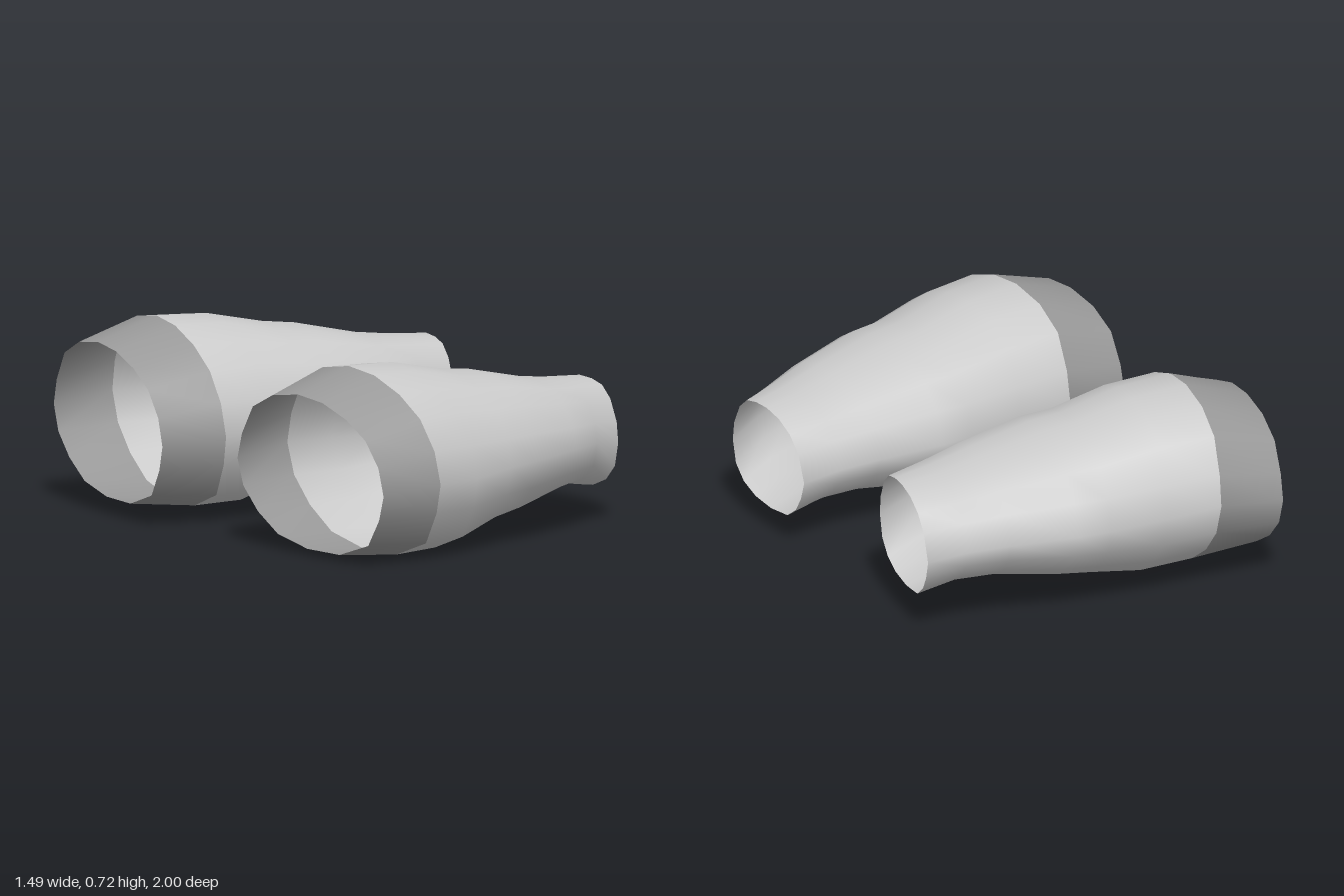
import * as THREE from 'three';

// Unit cross-sections [z, y], from the top round by the inner side
const WIDE = [[-.14, 1], [-.49, .93], [-.77, .73], [-.93, .35], [-1, .02], [-.93, -.33], [-.74, -.63], [-.47, -.88],
  [-.07, -1], [.37, -1], [.77, -.81], [.93, -.45], [1, -.13], [.94, .23], [.77, .56], [.51, .79], [.19, .95]];
const NARROW = [[.01, 1], [-.33, .93], [-.63, .75], [-.86, .46], [-1, -.06], [-.9, -.41], [-.75, -.7], [-.5, -.93],
  [-.03, -1], [.4, -.95], [.72, -.8], [.93, -.53], [1, -.09], [.95, .28], [.78, .68], [.57, .9], [.31, .98]];

// Rings along the sleeve: x, bottom, top, inner z, outer z, lean in z, lean in y
const RINGS = [
  [-.68, .03, .6, .165, .975, .012, -.01],
  [-.43, .005, .68, .145, 1, .01, -.02],
  [-.22, .005, .67, .135, .97, 0, -.015],
  [0, .055, .62, .13, .9, 0, 0],
  [.13, .078, .605, .13, .885, 0, 0],
  [.38, .13, .55, .165, .81, 0, 0],
  [.54, .14, .528, .185, .735, 0, 0],
  [.693, .11, .515, .205, .67, 0, .006],
];

// Open smooth skin through a run of rings
function skin(rings) {
  const n = WIDE.length, pos = [], index = [];
  rings.forEach(([x, y0, y1, z0, z1, leanZ, leanY], i) => {
    const t = THREE.MathUtils.smoothstep(x, -.45, .6);
    for (let j = 0; j < n; j++) {
      const u = THREE.MathUtils.lerp(WIDE[j][0], NARROW[j][0], t);
      const v = THREE.MathUtils.lerp(WIDE[j][1], NARROW[j][1], t);
      pos.push(x + leanZ * u + leanY * v, (y0 + y1) / 2 + v * (y1 - y0) / 2, (z0 + z1) / 2 + u * (z1 - z0) / 2);
      if (i === 0) continue;
      const k = (j + 1) % n, a = (i - 1) * n, b = i * n;
      index.push(a + j, b + j, a + k, b + j, b + k, a + k);
    }
  });
  const geo = new THREE.BufferGeometry();
  geo.setAttribute('position', new THREE.Float32BufferAttribute(pos, 3));
  geo.setIndex(index);
  geo.computeVertexNormals();
  return geo;
}

export function createModel() {
  const model = new THREE.Group();
  model.name = 'sleevePair';
  const sleeveMat = new THREE.MeshStandardMaterial({ color: 0xcccccc, side: THREE.DoubleSide });
  const bandMat = new THREE.MeshStandardMaterial({ color: 0x999999, side: THREE.DoubleSide });
  const bandGeo = skin(RINGS.slice(0, 2));
  const sleeveGeo = skin(RINGS.slice(1));

  // Two copies of one sleeve, the rear one turned and raised a little
  const places = [['frontSleeve', 0, 0, 0, 0], ['rearSleeve', .106, .04, -1.018, -.207]];
  for (const [name, x, y, z, turn] of places) {
    const part = new THREE.Group();
    part.name = name;
    const sleeve = new THREE.Mesh(sleeveGeo, sleeveMat);
    sleeve.name = 'sleeve';
    const band = new THREE.Mesh(bandGeo, bandMat);
    band.name = 'endBand';
    part.add(sleeve, band);
    part.position.set(x, y, z);
    part.rotation.y = turn;
    model.add(part);
  }
  return model;
}
